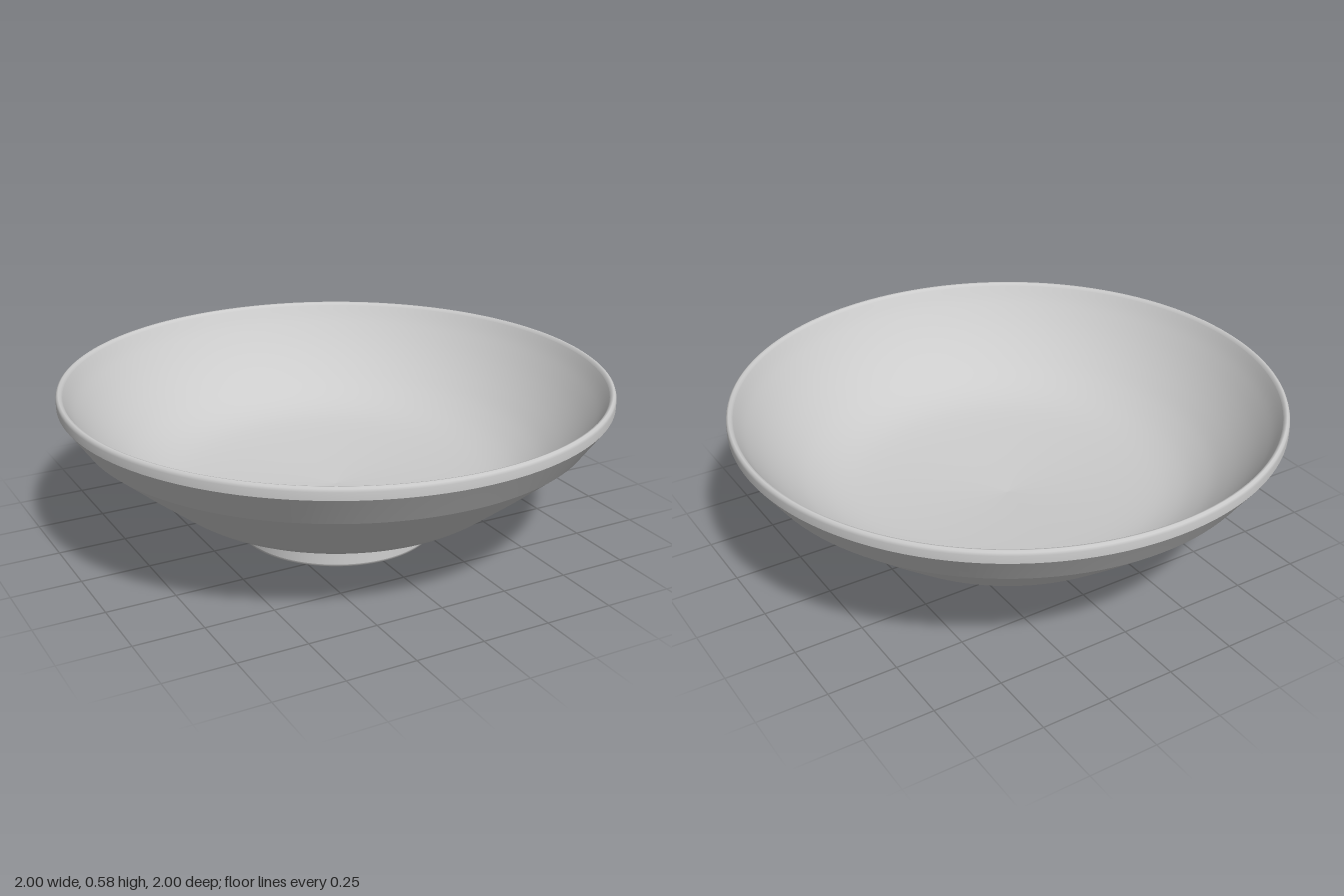
import * as THREE from 'three';

const material = new THREE.MeshStandardMaterial({ color: 0xcccccc });
const SEGMENTS = 128;

// Turns a profile of [radius, height] pairs; smooth profiles run through a spline
function turned(name, profile, samples = 0) {
  let points = profile.map(([r, y]) => new THREE.Vector2(r, y));
  if (samples) {
    points = new THREE.SplineCurve(points).getPoints(samples);
    points.forEach((p) => { p.x = Math.max(p.x, 0); });
  }
  const geometry = new THREE.LatheGeometry(points, SEGMENTS);
  geometry.normalizeNormals();
  const mesh = new THREE.Mesh(geometry, material);
  mesh.name = name;
  return mesh;
}

export function createModel() {
  const bowl = new THREE.Group();
  bowl.name = 'footedBowl';

  bowl.add(
    // Hollow under the foot, from its centre out to the standing edge
    turned('footRecess', [[0, 0.11], [0.2, 0.108], [0.27, 0.097], [0.31, 0.07], [0.327, 0.035], [0.332, 0.01], [0.338, 0.002]]),
    // Standing edge of the foot ring
    turned('footEdge', [[0.338, 0.002], [0.343, 0], [0.358, 0], [0.366, 0.004], [0.368, 0.012]]),
    // Foot ring flaring into the underside, then turning up into the wall
    turned('foot', [
      [0.368, 0.012], [0.366, 0.08], [0.372, 0.102], [0.387, 0.122], [0.412, 0.135],
      [0.45, 0.141], [0.51, 0.146], [0.56, 0.154], [0.6, 0.17], [0.64, 0.197],
    ], 40),
    // Sloping outer wall and the steeper band above it
    turned('lowerWall', [[0.64, 0.197], [0.78, 0.311], [0.92, 0.43]]),
    turned('upperWall', [[0.92, 0.43], [0.96, 0.487], [1, 0.543]]),
    // Upright lip with a rounded top
    turned('rim', [[1, 0.543], [1, 0.57], [0.997, 0.58], [0.99, 0.585], [0.982, 0.583], [0.976, 0.574]]),
    // Inside: shallow floor curving up into the wall
    turned('interior', [
      [0.976, 0.574], [0.94, 0.513], [0.88, 0.432], [0.81, 0.357], [0.73, 0.291],
      [0.63, 0.238], [0.5, 0.207], [0.25, 0.182], [0, 0.165],
    ], 40),
  );
  return bowl;
}
